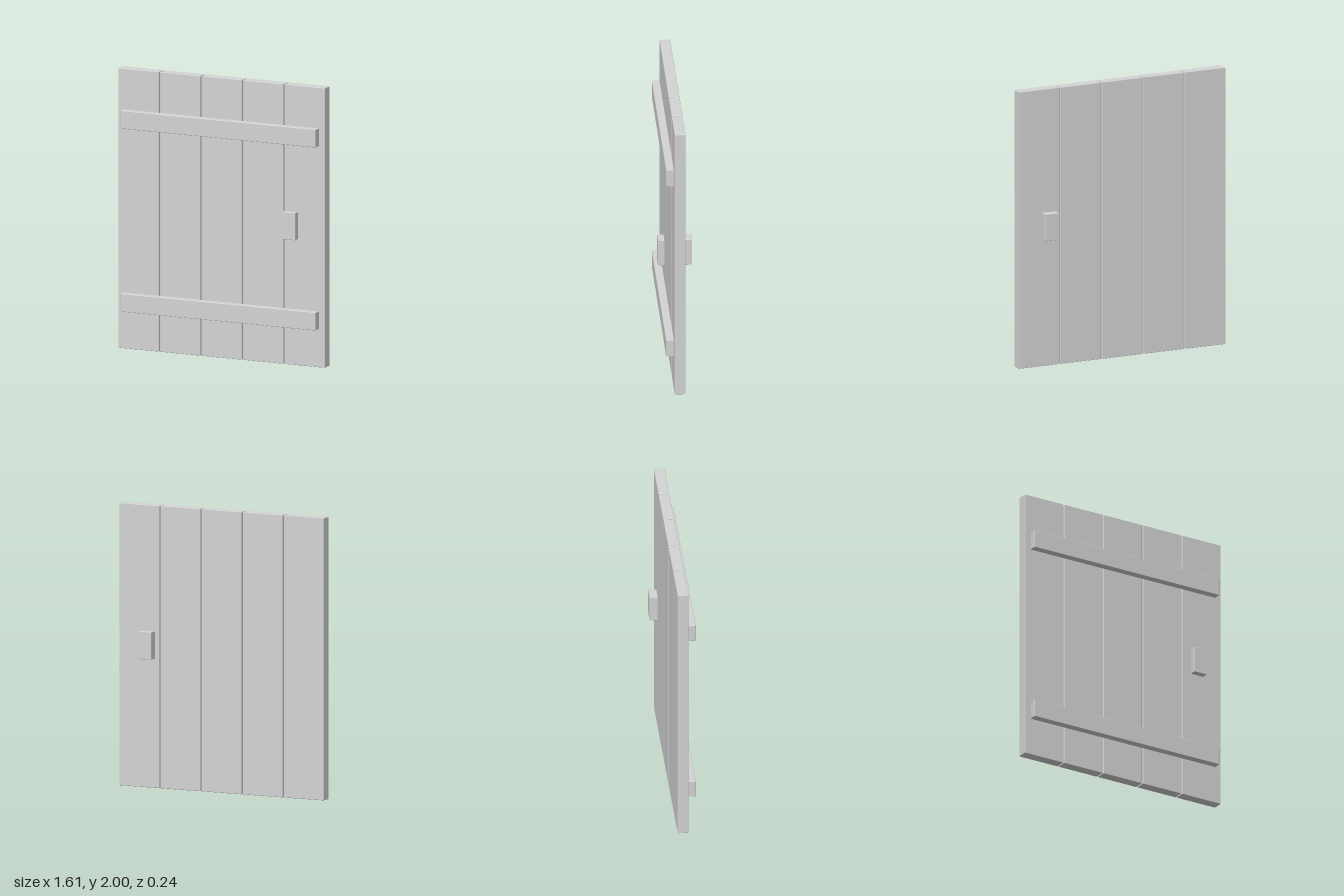
import * as THREE from 'three';
import { RoundedBoxGeometry } from 'three/addons/geometries/RoundedBoxGeometry.js';

export function createModel() {
  const door = new THREE.Group();
  door.name = 'plankDoor';

  const grey = new THREE.MeshStandardMaterial({ color: 0xd4d4d4 });
  grey.name = 'light grey';

  // Box with slightly eased edges, given by its centre and size
  const addBlock = (name, [w, h, d], [x, y, z]) => {
    const mesh = new THREE.Mesh(new RoundedBoxGeometry(w, h, d, 1, 0.004), grey);
    mesh.name = name;
    mesh.position.set(x, y, z);
    door.add(mesh);
  };

  // Five upright planks with narrow gaps between them
  const pitch = 0.3245;
  for (let i = 0; i < 5; i++) {
    addBlock(`plank${i + 1}`, [0.316, 2, 0.076], [(i - 2) * pitch, 1, -0.023]);
  }

  // Two cross battens on the front
  addBlock('lowerBatten', [1.524, 0.129, 0.056], [0, 0.337, 0.044]);
  addBlock('upperBatten', [1.524, 0.129, 0.056], [0, 1.645, 0.044]);

  // Handle blocks; the front one stands clear of the planks
  addBlock('frontHandle', [0.102, 0.196, 0.047], [0.576, 1.012, 0.0965]);
  addBlock('backHandle', [0.102, 0.196, 0.06], [0.576, 1.012, -0.09]);

  return door;
}
